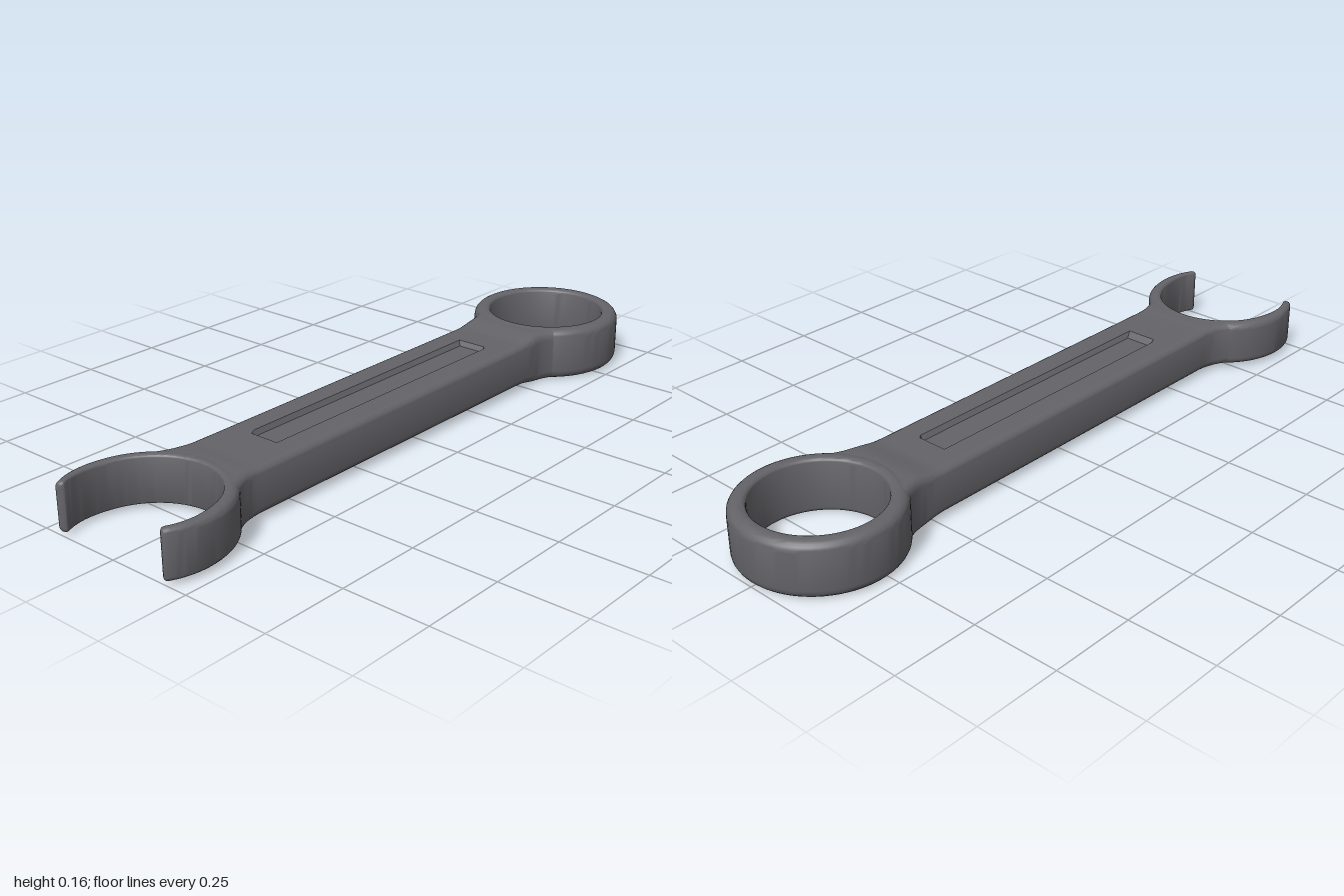
import * as THREE from 'three';
import { toCreasedNormals } from 'three/addons/utils/BufferGeometryUtils.js';

const MID_Y = 0.0785;
const RING_Z = -0.777, JAW_Z = 0.89;
const { lerp, smoothstep, clamp, degToRad } = THREE.MathUtils;

// Skin a list of closed cross-sections, each an array of [x, y, z]
function loft(rows) {
  const n = rows[0].length, index = [];
  for (let k = 0; k < rows.length - 1; k++) {
    for (let i = 0; i < n; i++) {
      const j = (i + 1) % n, a = k * n, b = a + n;
      index.push(a + i, a + j, b + i, a + j, b + j, b + i);
    }
  }
  const geo = new THREE.BufferGeometry();
  geo.setAttribute('position', new THREE.Float32BufferAttribute(rows.flat(2), 3));
  geo.setIndex(index);
  return toCreasedNormals(geo, 0.6);
}

// Quarter-circle corner, starting at angle a0
function corner(cx, cy, r, a0, steps = 5) {
  return Array.from({ length: steps + 1 }, (_, i) => {
    const a = a0 + (i / steps) * Math.PI / 2;
    return [cx + r * Math.cos(a), cy + r * Math.sin(a)];
  });
}

// Wall section with a large outer and a small inner edge radius
function wallSection(inner, outer, half) {
  const ro = (outer - inner) * 0.55, ri = (outer - inner) * 0.25, P = Math.PI;
  return [
    ...corner(outer - ro, -half + ro, ro, -P / 2),
    ...corner(outer - ro, half - ro, ro, 0),
    ...corner(inner + ri, half - ri, ri, P / 2),
    ...corner(inner + ri, -half + ri, ri, P),
  ];
}

// Turn a section to an angle around a head's centre
const place = (section, angle, cz) => section.map(([r, y]) =>
  [r * Math.sin(angle), MID_Y + y, cz + r * Math.cos(angle)]);

function ringGeometry() {
  const rows = [], section = wallSection(0.175, 0.224, 0.0785);
  for (let i = 0; i <= 72; i++) rows.push(place(section, -i / 72 * Math.PI * 2, RING_Z));
  return loft(rows);
}

function jawGeometry() {
  const rows = [], steps = 80, start = 302, end = 58;
  const add = (deg, shrink) => {
    // The wall thins towards both tips
    const f = Math.abs(deg - 180) / 122;
    const inner = 0.186 + 0.014 * smoothstep(f, 0.6, 1);
    const mid = (inner + 0.224) / 2;
    const section = wallSection(inner, 0.224, 0.068).map(([r, y]) =>
      [mid + (r - mid) * shrink, y * lerp(1, shrink, 0.25) * (shrink ? 1 : 0.98)]);
    rows.push(place(section, degToRad(deg), JAW_Z));
  };
  const tip = [[0, 0], [0.15, 0.5], [0.6, 0.75], [1.4, 0.92]];
  tip.forEach(([d, s]) => add(start - d, s));
  for (let i = 0; i <= steps; i++) add(lerp(start - 3, end + 3, i / steps), 1);
  tip.reverse().forEach(([d, s]) => add(end + d, s));
  return loft(rows);
}

// Handle half-width, flaring into both heads
function halfWidth(z) {
  const s = clamp(Math.max((-0.54 - z) / 0.1, (z - 0.645) / 0.1), 0, 1);
  return 0.128 + 0.04 * s * s;
}

// Handle half-height, swelling to meet the heads
const halfHeight = z => 0.064 + 0.0132 * smoothstep(-z, 0.47, 0.57)
  + 0.0035 * smoothstep(z, 0.62, 0.68);

function handleGeometry() {
  const W = 0.128, H = 0.064, R = 0.022, P = Math.PI;
  // Section as [u, v, groove]: u and v run from -1 to 1
  const unit = pts => pts.map(([x, y]) => [x / W, y / H, 0]);
  const section = [
    ...[-0.6, -0.3, 0, 0.3, 0.6].map(u => [u, -1, 0]),
    ...unit(corner(W - R, -H + R, R, -P / 2)),
    ...unit(corner(W - R, H - R, R, 0)),
    [0.6, 1, 0], [0.39, 1, 0], [0.32, 1, 1], [0, 1, 1], [-0.32, 1, 1], [-0.39, 1, 0], [-0.6, 1, 0],
    ...unit(corner(-W + R, H - R, R, P / 2)),
    ...unit(corner(-W + R, -H + R, R, P)),
  ];
  const rows = [];
  const add = (zOf, depth = 0) => rows.push(section.map(([u, v, g]) => {
    const z = zOf(u);
    return [u * halfWidth(z), MID_Y + v * halfHeight(z) - g * depth, z];
  }));
  // Both ends follow the round wall of the head they join
  const arc = u => Math.sqrt(0.04 - (u * 0.165) ** 2);
  const steps = 14;
  for (let i = 0; i <= steps; i++) add(u => lerp(RING_Z + arc(u), -0.46, i / steps));
  // Recessed panel along the top
  [[-0.395, 0], [-0.385, 0.014], [0.475, 0.014], [0.495, 0]].forEach(([z, d]) => add(() => z, d));
  for (let i = 0; i <= steps; i++) add(u => lerp(0.61, JAW_Z - arc(u), i / steps));
  return loft(rows);
}

export function createModel() {
  const group = new THREE.Group();
  group.name = 'wrench';
  const metal = new THREE.MeshStandardMaterial({ color: 0x646368 });
  const parts = { handle: handleGeometry(), ringEnd: ringGeometry(), openJaw: jawGeometry() };
  for (const [name, geometry] of Object.entries(parts)) {
    const mesh = new THREE.Mesh(geometry, metal);
    mesh.name = name;
    group.add(mesh);
  }
  return group;
}
